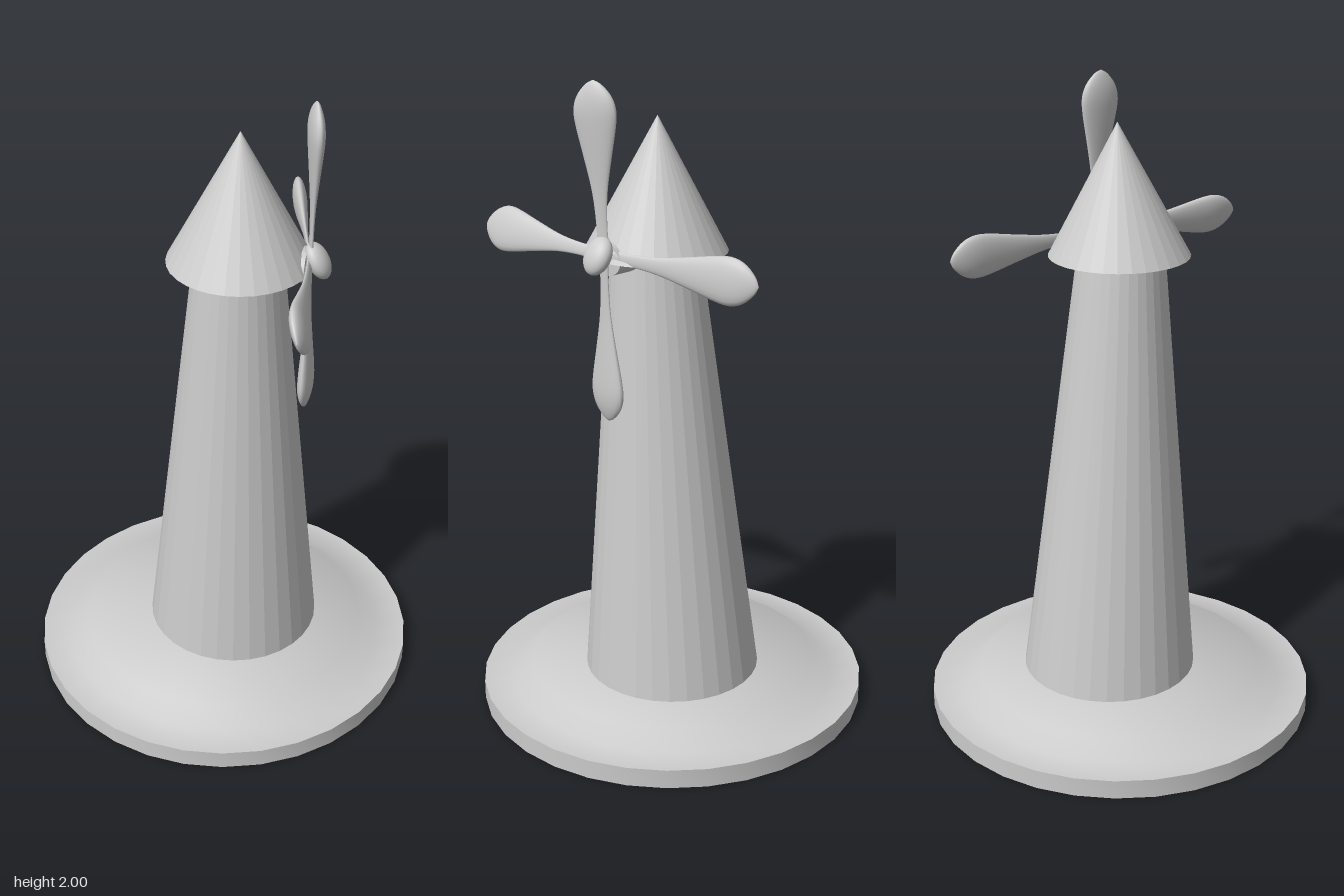
import * as THREE from 'three';
import { toCreasedNormals } from 'three/addons/utils/BufferGeometryUtils.js';

const grey = new THREE.MeshStandardMaterial({ color: 0xcccccc, side: THREE.DoubleSide });
const faceted = new THREE.MeshStandardMaterial({ color: 0xcccccc, side: THREE.DoubleSide, flatShading: true });

const lathe = (points, segments) =>
  new THREE.LatheGeometry(points.map(([r, y]) => new THREE.Vector2(r, y)), segments);

function addMesh(parent, name, geometry, material = grey) {
  const mesh = new THREE.Mesh(geometry, material);
  mesh.name = name;
  parent.add(mesh);
  return mesh;
}

// Tapered round body whose centre drifts from bottom to top (centres are [x, y, z])
function leaningCone(bottom, top, bottomRadius, topRadius, open) {
  const height = top[1] - bottom[1];
  const g = new THREE.CylinderGeometry(topRadius, bottomRadius, height, 32, 1, open);
  const p = g.attributes.position;
  for (let i = 0; i < p.count; i++) {
    const t = p.getY(i) / height + 0.5;
    p.setXYZ(
      i,
      p.getX(i) + THREE.MathUtils.lerp(bottom[0], top[0], t),
      bottom[1] + t * height,
      p.getZ(i) + THREE.MathUtils.lerp(bottom[2], top[2], t)
    );
  }
  g.computeVertexNormals();
  return g;
}

// Flattened paddle of unit length along +y, wide in x and thin in z
function bladeGeometry() {
  const outline = new THREE.SplineCurve([
    [0.022, 0], [0.018, 0.16], [0.025, 0.36], [0.045, 0.56], [0.064, 0.73],
    [0.069, 0.83], [0.056, 0.91], [0.026, 0.975], [0, 1],
  ].map(([r, y]) => new THREE.Vector2(r, y)));
  const points = outline.getPoints(28).map((v) => [Math.max(v.x, 0), v.y]);
  return lathe(points, 20).scale(1, 1, 0.32);
}

// Places a blade from root to tip, its width lying along the given direction
function addBlade(parent, name, geometry, root, tip, width) {
  const start = new THREE.Vector3(...root);
  const along = new THREE.Vector3(...tip).sub(start);
  const length = along.length();
  along.normalize();
  const across = new THREE.Vector3(...width);
  across.addScaledVector(along, -across.dot(along)).normalize();
  const normal = new THREE.Vector3().crossVectors(across, along);
  const blade = addMesh(parent, name, geometry);
  blade.quaternion.setFromRotationMatrix(new THREE.Matrix4().makeBasis(across, along, normal));
  blade.scale.y = length;
  blade.position.copy(start);
}

export function createModel() {
  const model = new THREE.Group();
  model.name = 'windmill';

  // Hollow stepped base, open underneath
  const base = lathe([[0.617, 0], [0.617, 0.06], [0.52, 0.06], [0.46, 0.11], [0, 0.11]], 32);
  addMesh(model, 'base', toCreasedNormals(base, 0.75));

  // Leaning tower and pointed roof
  addMesh(model, 'tower',
    leaningCone([0.027, 0.11, -0.028], [0.048, 1.49, 0.022], 0.278, 0.134, true), faceted);
  addMesh(model, 'roof',
    leaningCone([0.05, 1.48, 0.017], [0.049, 1.88, 0.01], 0.217, 0.001, false), faceted);

  // Rotor: short axle housing, rounded hub and four pitched blades
  const rotor = new THREE.Group();
  rotor.name = 'rotor';
  model.add(rotor);

  const axle = new THREE.CylinderGeometry(0.05, 0.05, 0.14, 24).rotateZ(Math.PI / 2).scale(1, 1, 1.3);
  addMesh(rotor, 'axleHousing', toCreasedNormals(axle, 0.6)).position.set(0.18, 1.487, 0.018);

  const hub = addMesh(rotor, 'hub', new THREE.SphereGeometry(1, 28, 20));
  hub.scale.set(0.031, 0.059, 0.048);
  hub.rotation.z = 0.5;
  hub.position.set(0.281, 1.502, 0.015);

  const blade = bladeGeometry();
  const root = [0.258, 1.5, 0.016];
  addBlade(rotor, 'upperBlade', blade, root, [0.267, 2, 0.04], [0.35, 0, 1]);
  addBlade(rotor, 'lowerBlade', blade, root, [0.255, 0.99, 0.008], [-0.05, 0, 1]);
  addBlade(rotor, 'frontBlade', blade, root, [0.302, 1.517, 0.512], [0.34, -1, 0]);
  addBlade(rotor, 'backBlade', blade, root, [0.138, 1.483, -0.487], [0.1, -1, 0]);

  return model;
}
